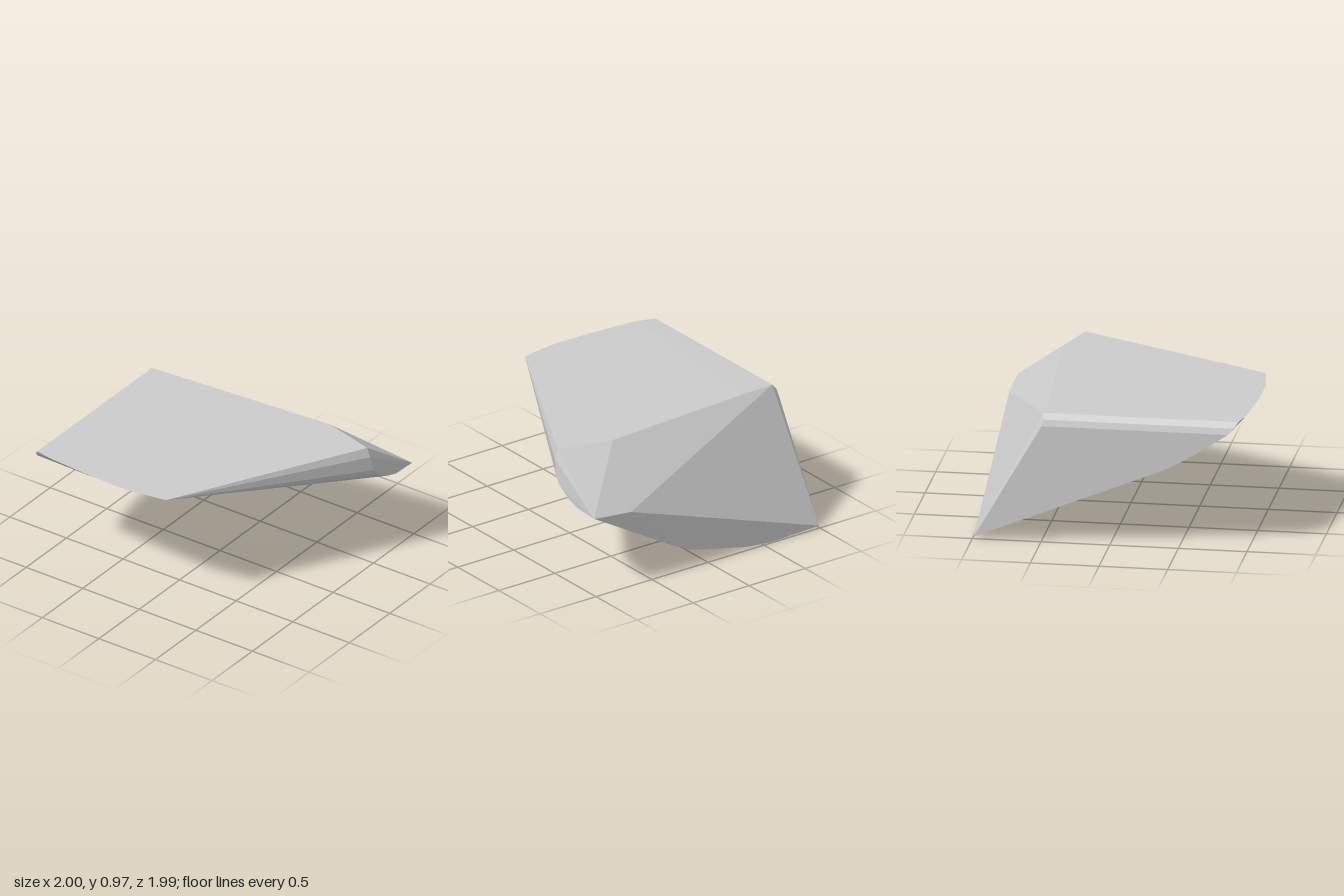
import * as THREE from 'three';
import { ConvexGeometry } from 'three/addons/geometries/ConvexGeometry.js';

export function createModel() {
  const group = new THREE.Group();
  group.name = 'facetedWedge';

  // Outline of the flat top, [x, z]
  const TOP_Y = 0.97;
  const topOutline = [
    [-0.7, -0.5], [0.55, -0.59], [0.96, -0.48], [0.2, 0.95],
    [0, 0.985], [-0.12, 0.998], [-0.4, 0.995], [-0.8, 0.965],
  ].map(([x, z]) => [x, TOP_Y, z]);

  // Chamfered left flank, with its curved lower front edge
  const leftFlank = [
    [-0.95, 0.965, -0.49], [-0.985, 0.925, -0.49], [-1, 0.88, -0.495],
    [-0.95, 0.965, 0.93], [-0.985, 0.925, 0.9], [-1, 0.88, 0.86],
    [-1, 0.7, 0.59], [-1, 0.6, 0.42],
  ];

  // Curved lower edge of the upright back, [x, y]
  const backEdge = [
    [-1, 0.02], [-0.56, 0.005], [-0.34, 0.03], [0, 0.105],
    [0.16, 0.145], [0.3, 0.215], [0.68, 0.585],
  ].map(([x, y]) => [x, y, -0.99]);

  // Rounded cap on the far right end
  const rightCap = [
    [0.985, 0.9, -0.48], [0.995, 0.78, -0.51], [1, 0.72, -0.56],
    [1, 0.66, -0.66], [1, 0.62, -0.78], [1, 0.612, -0.98],
  ];

  const points = [...topOutline, ...leftFlank, ...backEdge, ...rightCap]
    .map((p) => new THREE.Vector3(...p));

  const body = new THREE.Mesh(
    new ConvexGeometry(points),
    new THREE.MeshStandardMaterial({ color: 0xcccccc, flatShading: true }),
  );
  body.name = 'wedgeBody';
  group.add(body);
  return group;
}
